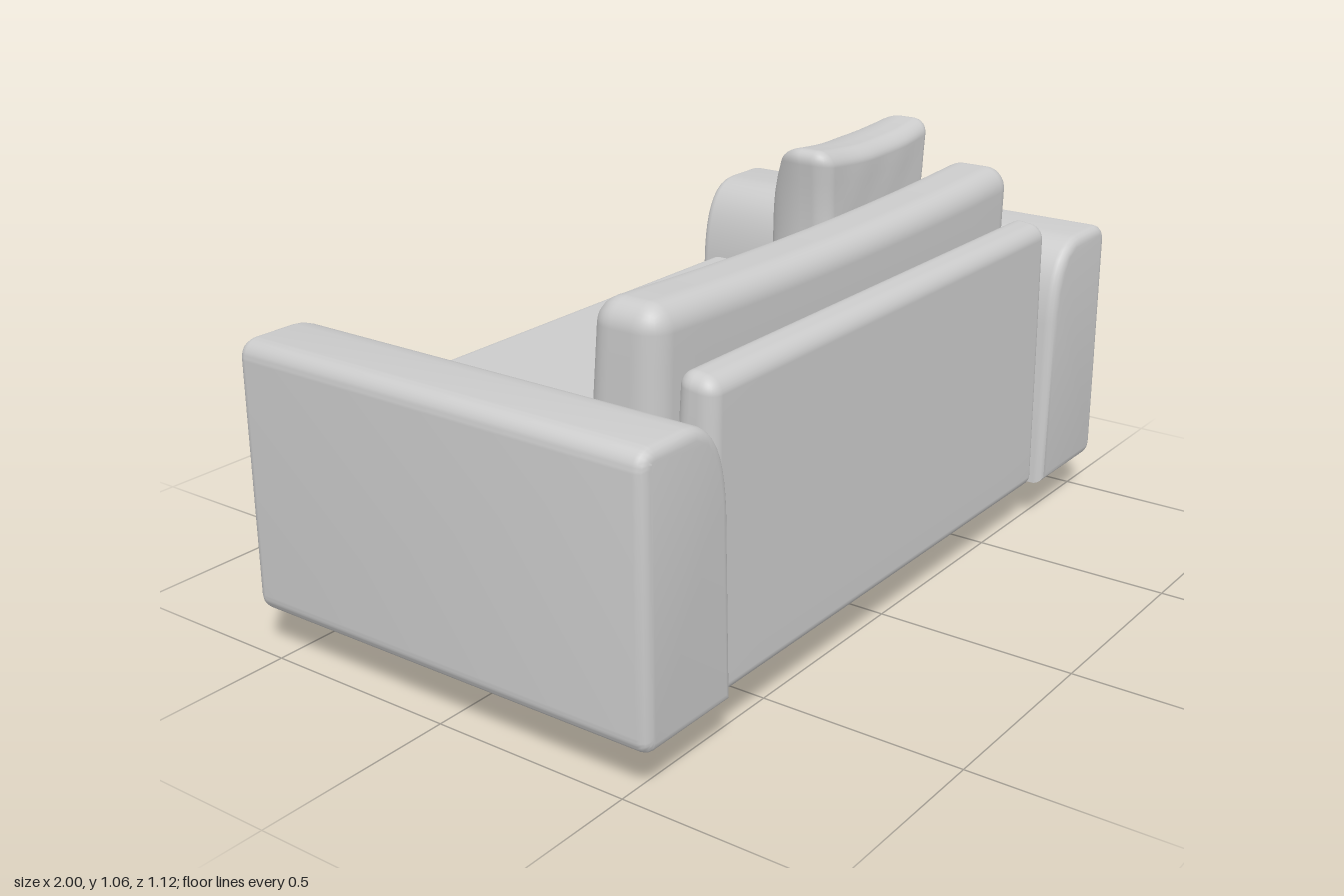
import * as THREE from 'three';
import { mergeVertices, toCreasedNormals } from 'three/addons/utils/BufferGeometryUtils.js';

const material = new THREE.MeshStandardMaterial({ color: 0xcccccc });
const N = 18, K = 4; // segments per side, of which K form each rounded edge

// Rounded, subdivided box between two corners; deform(p, n) may move each
// point, n being its position inside the box from -1 to 1 on each axis.
function softBox(name, min, max, r, deform) {
  const lo = new THREE.Vector3(...min), hi = new THREE.Vector3(...max);
  const mid = lo.clone().add(hi).multiplyScalar(0.5);
  const half = hi.clone().sub(lo).multiplyScalar(0.5);
  let geo = new THREE.BoxGeometry(N, N, N, N, N, N);
  geo.deleteAttribute('uv');
  geo.deleteAttribute('normal');
  geo = mergeVertices(geo);
  const pos = geo.attributes.position;
  const p = new THREE.Vector3(), core = new THREE.Vector3(), n = new THREE.Vector3();
  for (let i = 0; i < pos.count; i++) {
    p.fromBufferAttribute(pos, i);
    for (const a of ['x', 'y', 'z']) {
      const s = Math.sign(p[a]), t = Math.abs(p[a]), flat = N / 2 - K, inner = half[a] - r;
      p[a] = s * (t <= flat ? inner * t / flat : inner + r * Math.tan((t - flat) / K * Math.PI / 4));
      core[a] = THREE.MathUtils.clamp(p[a], -inner, inner);
    }
    p.sub(core).setLength(r).add(core);
    n.copy(p).divide(half);
    p.add(mid);
    if (deform) deform(p, n);
    pos.setXYZ(i, p.x, p.y, p.z);
  }
  geo.computeVertexNormals();
  const mesh = new THREE.Mesh(geo, material);
  mesh.name = name;
  return mesh;
}

// Armrest: padded profile with a rounded inner shoulder, run front to back
function arm(side) {
  const b = 0.025;
  const s = new THREE.Shape();
  s.moveTo(0.728, 0.133);
  s.lineTo(0.965, 0.133);
  s.quadraticCurveTo(0.975, 0.133, 0.975, 0.15);
  s.lineTo(0.975, 0.715);
  s.quadraticCurveTo(0.975, 0.735, 0.955, 0.735);
  s.lineTo(0.85, 0.735);
  s.bezierCurveTo(0.77, 0.735, 0.745, 0.65, 0.738, 0.55);
  s.closePath();
  const geo = new THREE.ExtrudeGeometry(s, {
    depth: 1.124 - 2 * b, bevelThickness: b, bevelSize: b, bevelSegments: 4, curveSegments: 10,
  });
  geo.translate(0, 0, -0.562 + b);
  if (side < 0) geo.rotateY(Math.PI);
  const mesh = new THREE.Mesh(toCreasedNormals(geo, 0.7), material);
  mesh.name = side > 0 ? 'leftArm' : 'rightArm';
  return mesh;
}

// Square tapered leg with a chamfered foot
function leg(x, z, height) {
  const q = Math.SQRT1_2;
  const profile = [[0, 0], [0.7, 0], [0.88, 0.025], [1, 0.12], [1, height], [0, height]]
    .map(([r, y]) => new THREE.Vector2(r * q, y));
  const geo = new THREE.LatheGeometry(profile, 4).rotateY(Math.PI / 4).scale(0.113, 1, 0.074);
  const mesh = new THREE.Mesh(
    toCreasedNormals(geo, 0.1),
    new THREE.MeshStandardMaterial({ color: 0xcccccc, flatShading: true }));
  mesh.position.set(x, 0, z);
  mesh.name = 'leg';
  return mesh;
}

export function createModel() {
  const sofa = new THREE.Group();
  sofa.name = 'sofa';
  sofa.add(arm(1), arm(-1));

  // Upholstered back panel: thicker towards the floor, narrower at the top
  sofa.add(softBox('backPanel', [-0.768, 0.11, 0.455], [0.688, 0.837, 0.548], 0.035, (p, n) => {
    p.x -= 0.012 * (n.y + 1) / 2 * n.x;
    p.z -= 0.01 * (1 - n.z) * (1 - n.y);
    if (n.y > 0) p.y -= 0.006 * (n.z + 1) * n.y;
  }));

  // Back cushion: leaning front face, top sagging and underside arched
  sofa.add(softBox('backCushion', [-0.785, 0.19, 0.24], [0.702, 0.96, 0.432], 0.06, (p, n) => {
    p.y -= 0.022 * (1 - n.x * n.x) * Math.max(0, n.y);
    p.y += 0.1 * (1 - n.x * n.x) * Math.max(0, -n.y);
    const front = (1 - n.z) / 2;
    p.z += front * 0.034 * (n.y - 0.5) + (1 - front) * 0.008 * (n.y - 1);
  }));

  // Seat cushion on an open-bottomed frame
  sofa.add(softBox('seatCushion', [-0.74, 0.39, -0.512], [0.715, 0.56, 0.22], 0.03));
  sofa.add(softBox('frontRail', [-0.74, 0.12, -0.51], [0.71, 0.392, -0.42], 0.02));
  sofa.add(softBox('rearRail', [-0.7, 0.2, 0.12], [0.69, 0.395, 0.2], 0.015));
  for (const x of [-0.72, 0.67]) {
    sofa.add(softBox('sideRail', [x, 0.14, -0.45], [x + 0.03, 0.395, 0.2], 0.01));
  }

  // Throw pillow: flat against the back, puffed forward, with drawn-out corners
  sofa.add(softBox('throwPillow', [0.15, 0.555, 0.09], [0.666, 1.065, 0.21], 0.04, (p, n) => {
    const u = n.x, v = n.y;
    const puff = Math.sqrt(Math.max(0, (1 - u * u) * (1 - v * v)));
    p.x -= 0.024 * u * (1 - v * v);
    p.y -= 0.024 * v * (1 - u * u);
    p.z -= (1 - n.z) / 2 * 0.115 * puff;
    p.z += 0.006 * v - 0.003 * Math.sin(9 * u) * Math.cos(7 * v) * (1 - Math.abs(n.z) * 0.5);
  }));

  // Rear legs run further up to meet the arched back cushion
  for (const x of [-0.66, 0.565]) sofa.add(leg(x, -0.39, 0.16), leg(x, 0.32, 0.23));
  return sofa;
}
